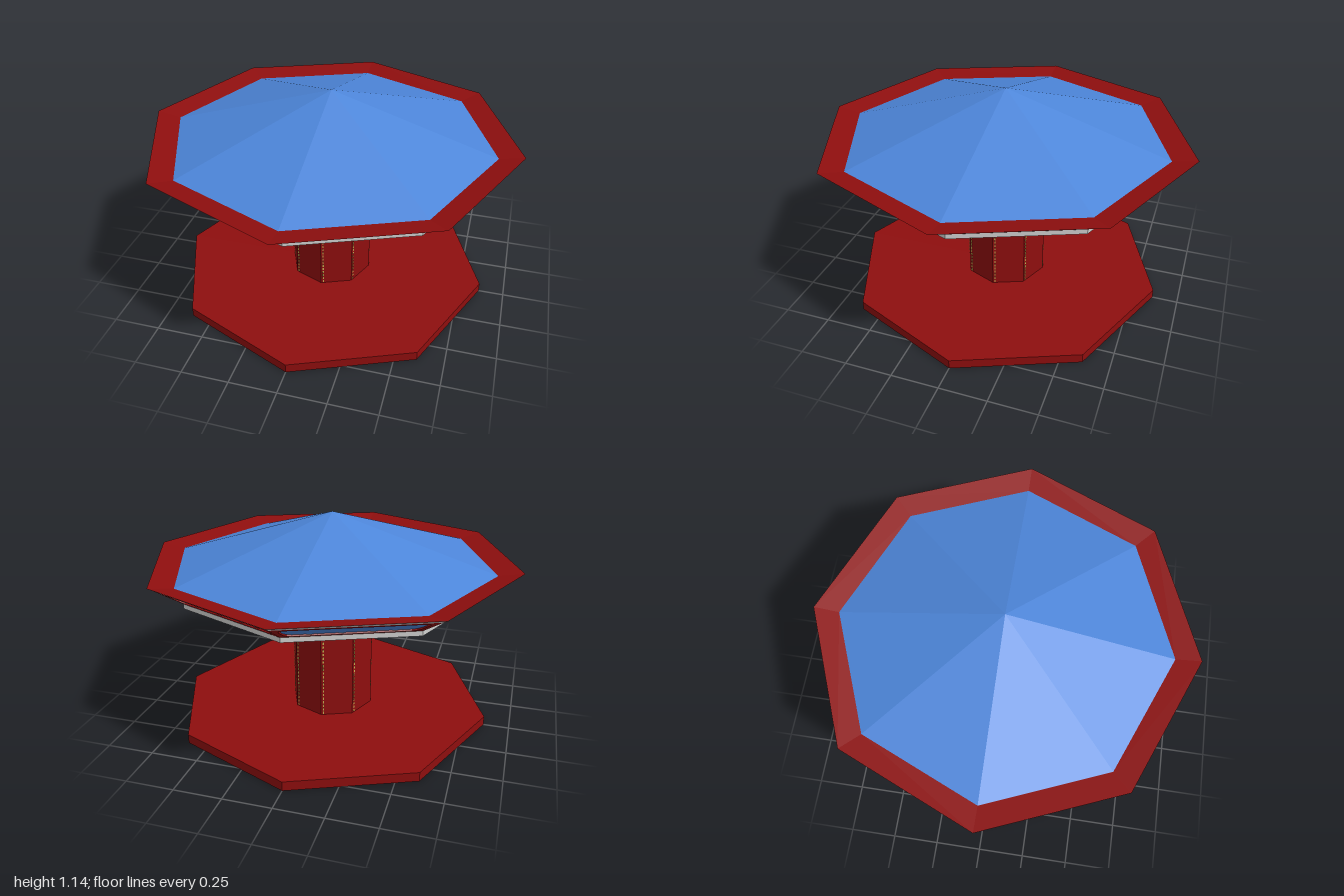
import * as THREE from 'three';

const SIDES = 8;
const STEP = (Math.PI * 2) / SIDES;
const HALF = STEP / 2;

const red = new THREE.MeshStandardMaterial({ color: 0x8e0e0e });
red.name = 'deep red';
const blue = new THREE.MeshStandardMaterial({ color: 0x4d86da });
blue.name = 'sky blue';
const white = new THREE.MeshStandardMaterial({ color: 0xd0d0cf });
white.name = 'soft white';
const gold = new THREE.MeshStandardMaterial({ color: 0xc4b052 });
gold.name = 'gold';

function add(parent, name, geometry, material, x = 0, y = 0, z = 0) {
  const mesh = new THREE.Mesh(geometry, material);
  mesh.name = name;
  mesh.position.set(x, y, z);
  parent.add(mesh);
  return mesh;
}

// Faceted octagonal surface from a [radius, height] profile
function octagon(parent, name, profile, material) {
  const points = profile.map(([r, y]) => new THREE.Vector2(r, y));
  const geometry = new THREE.LatheGeometry(points, SIDES).toNonIndexed();
  geometry.computeVertexNormals();
  return add(parent, name, geometry, material);
}

// Group lying on one sloping facet: x along it, y up the slope, z outward
function facet(parent, name, i, [r0, y0], [r1, y1]) {
  const turn = new THREE.Group();
  turn.name = name;
  turn.rotation.y = (i + 0.5) * STEP;
  parent.add(turn);
  const plane = new THREE.Group();
  plane.name = name + 'Plane';
  const run = (r1 - r0) * Math.cos(HALF);
  plane.position.set(0, y0, r0 * Math.cos(HALF));
  plane.rotation.x = Math.atan2(run, y1 - y0);
  turn.add(plane);
  return {
    plane,
    w0: r0 * Math.sin(HALF),
    w1: r1 * Math.sin(HALF),
    length: Math.hypot(run, y1 - y0),
  };
}

// Red frame with a cut-corner opening, and a blue panel set behind it
function framedPanel(f, side, bottom, top, cut) {
  const { plane, w0, w1, length } = f;
  const outline = [[-w0, 0], [w0, 0], [w1, length], [-w1, length]].map((p) => new THREE.Vector2(...p));
  const halfWidth = (y) => w0 + ((w1 - w0) * y) / length - side;
  const b = bottom;
  const t = length - top;
  const right = [
    [halfWidth(b) - cut, b],
    [halfWidth(b) - cut * 0.3, b + cut * 0.3],
    [halfWidth(b + cut), b + cut],
    [halfWidth(t - cut), t - cut],
    [halfWidth(t) - cut * 0.3, t - cut * 0.3],
    [halfWidth(t) - cut, t],
  ];
  const left = right.map(([x, y]) => [-x, y]).reverse();
  const shape = new THREE.Shape(outline);
  shape.holes.push(new THREE.Path([...right, ...left].map((p) => new THREE.Vector2(...p))));
  const frame = new THREE.ExtrudeGeometry(shape, { depth: 0.01, bevelEnabled: false });
  add(plane, 'panelFrame', frame, red, 0, 0, -0.01);
  add(plane, 'skyPanel', new THREE.ShapeGeometry(new THREE.Shape(outline)), blue, 0, 0, -0.008);
}

// Flat cloud made from overlapping discs
function cloud(parent, x, y, s) {
  const group = new THREE.Group();
  group.name = 'cloud';
  group.position.set(x, y, -0.005);
  parent.add(group);
  for (const [dx, dy, r] of [[-0.022, 0, 0.013], [0, 0.004, 0.018], [0.021, -0.003, 0.014]]) {
    add(group, 'cloudPuff', new THREE.CircleGeometry(r * s, 14), white, dx * s, dy * s, 0);
  }
}

export function createModel() {
  const model = new THREE.Group();
  model.name = 'carousel';

  // Platform and central column
  octagon(model, 'platform', [[0, 0], [0.865, 0], [0.865, 0.05], [0, 0.05]], red);
  octagon(model, 'column', [[0.225, 0.05], [0.225, 0.58], [0.283, 0.605]], red);

  // Dotted gold lines beside the column corners
  for (let i = 0; i < SIDES; i++) {
    const f = facet(model, 'columnTrim', i, [0.225, 0.05], [0.225, 0.58]);
    for (let k = 0; k < 24; k++) {
      add(f.plane, 'goldDash', new THREE.BoxGeometry(0.006, 0.013, 0.003), gold, -f.w0 + 0.013, 0.012 + k * 0.022, 0.001);
    }
  }

  // Flared column head with cloud panels
  for (let i = 0; i < SIDES; i++) {
    const f = facet(model, 'columnHead', i, [0.283, 0.605], [0.375, 0.885]);
    framedPanel(f, 0.021, 0.034, 0.035, 0.01);
    cloud(f.plane, -0.055, 0.14, 0.9);
    cloud(f.plane, 0.062, 0.12, 0.9);
    cloud(f.plane, 0.03, 0.052, 0.85);
    cloud(f.plane, 0.0, 0.225, 1.1);
    cloud(f.plane, 0.085, 0.195, 0.9);
    cloud(f.plane, -0.085, 0.21, 0.7);
  }

  // Sloping canopy rim with long panels
  const rimLow = [0.83, 0.78];
  const rimHigh = [0.97, 0.872];
  for (let i = 0; i < SIDES; i++) {
    const f = facet(model, 'canopyRim', i, rimLow, rimHigh);
    framedPanel(f, 0.026, 0.012, 0.026, 0.03);
    for (const x of [-0.22, -0.08, 0.07, 0.2]) {
      add(f.plane, 'rimCloudDash', new THREE.PlaneGeometry(0.05, 0.006), white, x, f.length - 0.033, -0.005);
      add(f.plane, 'rimCloudDash', new THREE.PlaneGeometry(0.05, 0.006), white, x * 0.9 + 0.02, 0.021, -0.005);
    }
  }
  octagon(model, 'lowerTrim', [[0.83, 0.755], rimLow], white);
  octagon(model, 'upperTrim', [rimHigh, [1, 0.89]], white);

  // Roof, its border and the ceiling
  octagon(model, 'roofBorder', [[1, 0.89], [0.87, 0.867]], red);
  octagon(model, 'roof', [[0.87, 0.867], [0, 1.14]], blue);
  octagon(model, 'ceiling', [[0, 0.993], [0.83, 0.755]], blue);

  return model;
}
